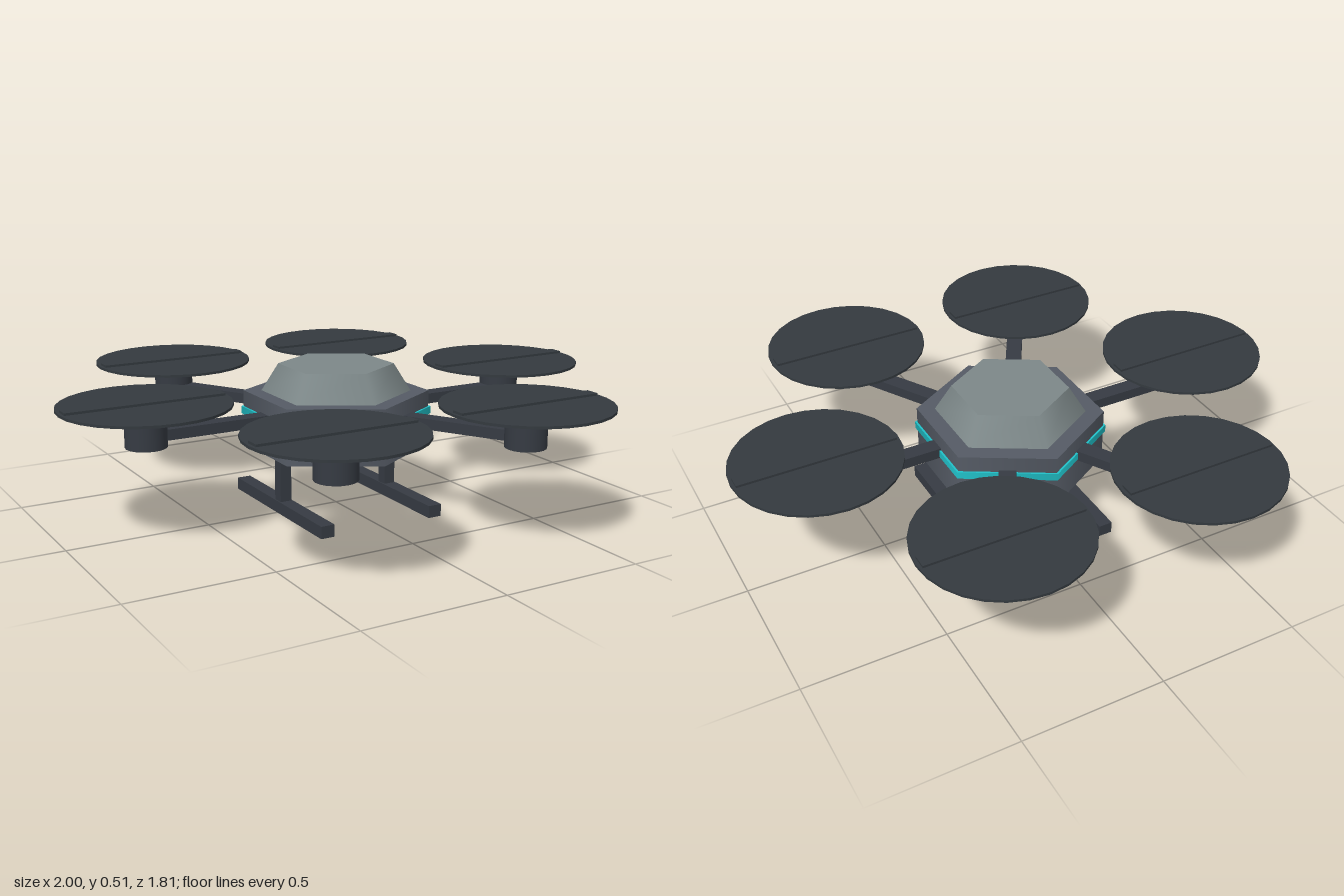
import * as THREE from 'three';

const paint = (name, color) => {
  const m = new THREE.MeshStandardMaterial({ color });
  m.name = name;
  return m;
};

export function createModel() {
  const drone = new THREE.Group();
  drone.name = 'hexacopter';
  const shell = paint('slate grey', 0x555b65);
  const canopy = paint('pale grey', 0x7d8889);
  const dark = paint('charcoal', 0x363b43);
  const rotor = paint('rotor black', 0x343a3f);
  const teal = paint('teal', 0x20c0c8);

  const add = (parent, name, geometry, material, x, y, z) => {
    const mesh = new THREE.Mesh(geometry, material);
    mesh.name = name;
    mesh.position.set(x, y, z);
    parent.add(mesh);
    return mesh;
  };

  // Hexagonal hull with a corner facing forward
  add(drone, 'body', new THREE.CylinderGeometry(0.325, 0.325, 0.196, 6), shell, 0, 0.314, 0);
  add(drone, 'lightBand', new THREE.CylinderGeometry(0.333, 0.333, 0.026, 6), teal, 0, 0.342, 0);
  add(drone, 'canopy', new THREE.CylinderGeometry(0.202, 0.262, 0.097, 6), canopy, 0, 0.46, 0);

  // Six arms, each with a motor, a rotor disc and a blade lying along x
  const reach = 0.712;
  const armGeo = new THREE.BoxGeometry(reach, 0.037, 0.058);
  const motorGeo = new THREE.CylinderGeometry(0.07, 0.07, 0.124, 20);
  const discGeo = new THREE.CylinderGeometry(0.287, 0.287, 0.009, 28);
  const bladeGeo = new THREE.BoxGeometry(0.55, 0.012, 0.05);
  for (let i = 0; i < 6; i++) {
    const a = (i * Math.PI) / 3;
    const x = Math.cos(a) * reach;
    const z = Math.sin(a) * reach;
    const unit = new THREE.Group();
    unit.name = 'rotorUnit' + (i + 1);
    drone.add(unit);
    add(unit, 'arm', armGeo, dark, x / 2, 0.343, z / 2).rotation.y = -a;
    add(unit, 'motor', motorGeo, dark, x, 0.368, z);
    add(unit, 'rotorDisc', discGeo, rotor, x, 0.4455, z);
    add(unit, 'blade', bladeGeo, rotor, x, 0.452, z);
  }

  // Landing gear
  for (const side of [-1, 1]) {
    const name = side > 0 ? 'left' : 'right';
    add(drone, name + 'Leg', new THREE.BoxGeometry(0.042, 0.2, 0.042), dark, side * 0.213, 0.13, 0);
    add(drone, name + 'Skid', new THREE.BoxGeometry(0.05, 0.043, 0.632), dark, side * 0.213, 0.0215, 0);
  }
  return drone;
}
